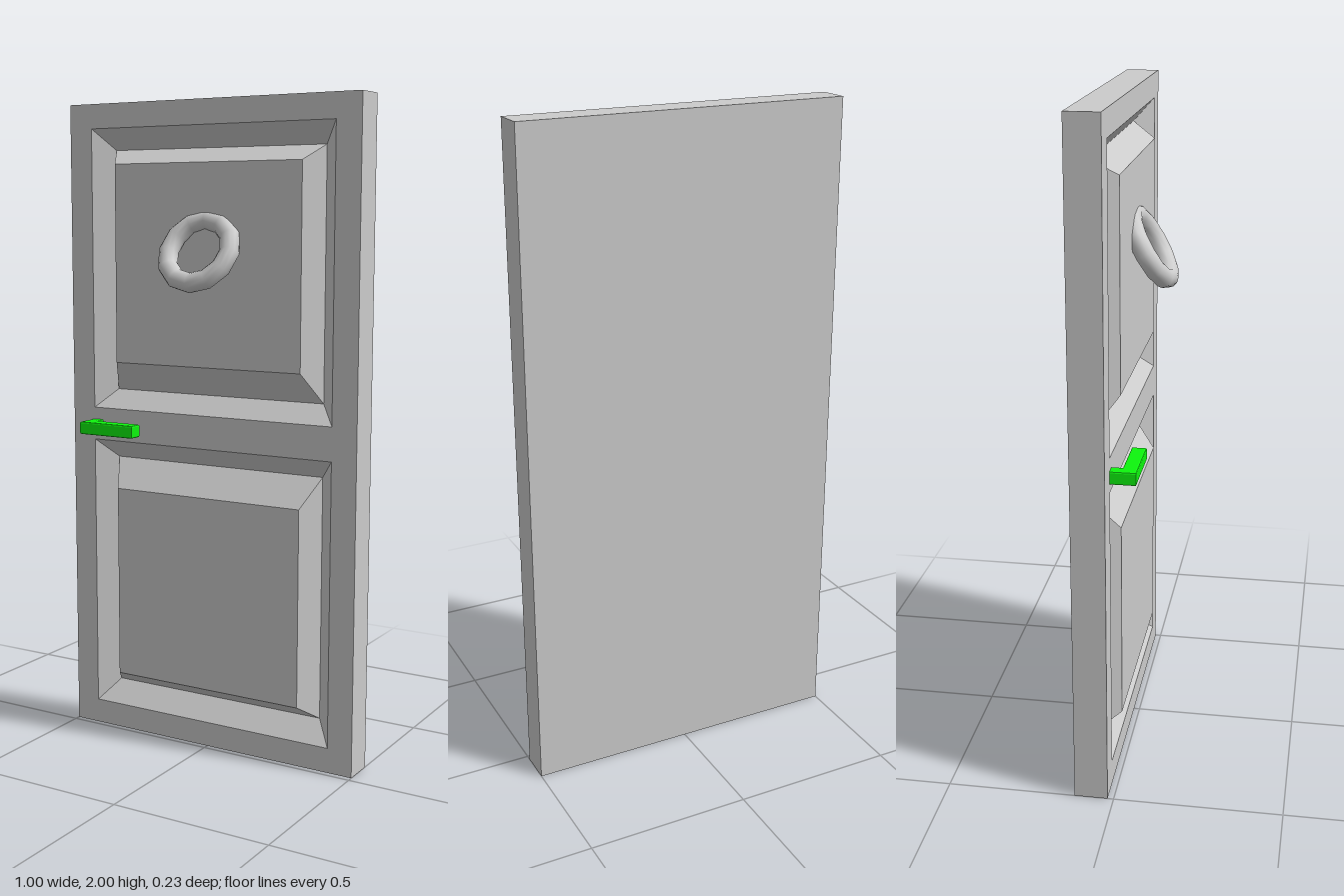
import * as THREE from 'three';

const BACK = -0.117, FRONT = -0.018, GROOVE = -0.075, RAISED = -0.003;
const grey = () => new THREE.MeshStandardMaterial({ color: 0xcccccc });

const rect = (halfWidth, y0, y1, z) => [
  [-halfWidth, y0, z], [halfWidth, y0, z], [halfWidth, y1, z], [-halfWidth, y1, z],
];

// Flat-faced skin through a series of rectangles, with optional end caps
function loft(loops, capStart, capEnd) {
  const pos = [];
  const quad = (a, b, c, d) => pos.push(...a, ...b, ...c, ...a, ...c, ...d);
  for (let i = 0; i < loops.length - 1; i++) {
    const a = loops[i], b = loops[i + 1];
    for (let j = 0; j < 4; j++) {
      const k = (j + 1) % 4;
      quad(a[j], a[k], b[k], b[j]);
    }
  }
  if (capStart) quad(...[...loops[0]].reverse());
  if (capEnd) quad(...loops[loops.length - 1]);
  const g = new THREE.BufferGeometry();
  g.setAttribute('position', new THREE.Float32BufferAttribute(pos, 3));
  g.computeVertexNormals();
  return g;
}

const toPoints = (loop) => loop.map(([x, y]) => new THREE.Vector2(x, y));

export function createModel() {
  const door = new THREE.Group();
  door.name = 'door';
  const add = (name, geometry, material = grey()) => {
    const mesh = new THREE.Mesh(geometry, material);
    mesh.name = name;
    door.add(mesh);
    return mesh;
  };

  // Heights: opening, groove floor and raised field of each panel
  const panels = [
    { name: 'upperPanel', opening: [1.053, 1.925], groove: [1.11, 1.86], field: [1.203, 1.815] },
    { name: 'lowerPanel', opening: [0.077, 0.95], groove: [0.143, 0.89], field: [0.19, 0.8] },
  ];

  // Slab sides and back
  add('slab', loft([rect(0.5, 0, 2, BACK), rect(0.5, 0, 2, FRONT)], true, false));

  // Front frame with two panel openings
  const frame = new THREE.Shape(toPoints(rect(0.5, 0, 2, 0)));
  for (const p of panels) {
    frame.holes.push(new THREE.Path(toPoints(rect(0.42, ...p.opening, 0)).reverse()));
  }
  add('frontFrame', new THREE.ShapeGeometry(frame)).position.z = FRONT;

  // Panels: bevel down into the groove, then up to the raised field
  for (const p of panels) {
    add(p.name, loft([
      rect(0.42, ...p.opening, FRONT),
      rect(0.365, ...p.groove, GROOVE),
      rect(0.323, ...p.field, RAISED),
    ], false, true));
  }

  // Knocker ring, leaning out at the bottom
  const ring = add('knockerRing', new THREE.TorusGeometry(0.105, 0.03, 12, 12));
  ring.position.set(0, 1.553, 0.0325);
  ring.rotation.x = -Math.PI / 6;

  // L-shaped handle: outline in x and z, thickness in y
  const bevel = 0.005;
  const outline = [
    [-0.42, -0.03], [-0.392, -0.03], [-0.392, 0.018],
    [-0.233, 0.018], [-0.233, 0.052], [-0.42, 0.052],
  ].map(([x, z]) => new THREE.Vector2(x, -z));
  const handle = new THREE.ExtrudeGeometry(new THREE.Shape(outline), {
    depth: 0.03, bevelEnabled: true, bevelSize: bevel, bevelThickness: bevel, bevelSegments: 2,
  });
  handle.rotateX(-Math.PI / 2);
  add('handle', handle, new THREE.MeshStandardMaterial({ color: 0x0df50d })).position.y = 0.98;

  return door;
}
